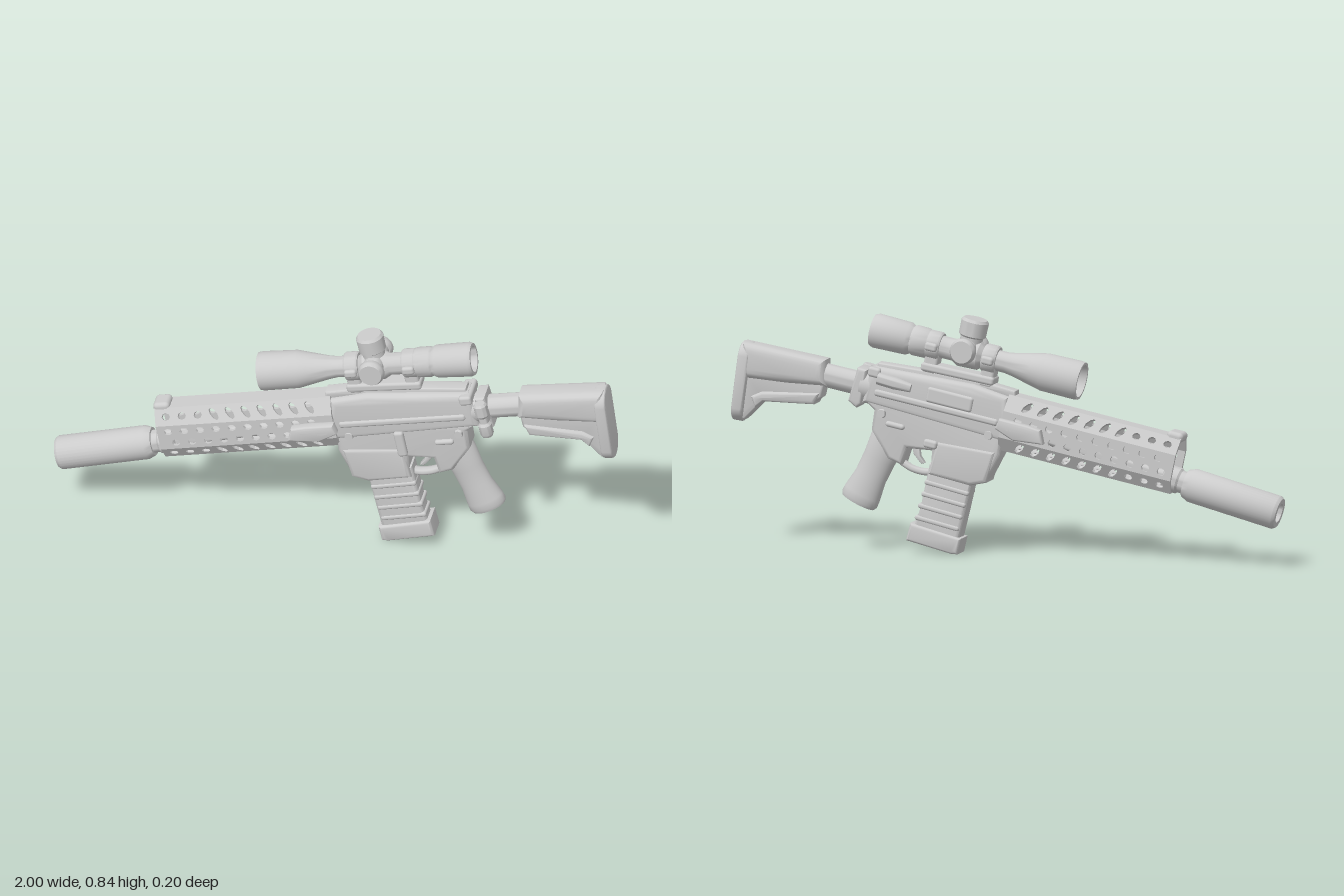
import * as THREE from 'three';
import { toCreasedNormals } from 'three/addons/utils/BufferGeometryUtils.js';
import { RoundedBoxGeometry } from 'three/addons/geometries/RoundedBoxGeometry.js';

const mat = new THREE.MeshStandardMaterial({ color: 0xcccccc });
const TILT = 0.2;

export function createModel() {
  const model = new THREE.Group();
  model.name = 'rifle';

  const add = (name, geo, parent = model) => {
    const mesh = new THREE.Mesh(geo, mat);
    mesh.name = name;
    parent.add(mesh);
    return mesh;
  };

  // Turned part running from a to b; profile is [radius, fraction], zScale flattens it sideways
  const turned = (name, a, b, profile, zScale = 1, seg = 32) => {
    const dx = b[0] - a[0], dy = b[1] - a[1], len = Math.hypot(dx, dy);
    const pts = profile.map(([r, t]) => new THREE.Vector2(r, t * len));
    const mesh = add(name, toCreasedNormals(new THREE.LatheGeometry(pts, seg), 0.6));
    mesh.position.set(a[0], a[1], a[2] || 0);
    mesh.rotation.z = Math.atan2(-dx, dy);
    mesh.scale.z = zScale;
    return mesh;
  };

  // Side outline extruded to +-half with rounded edges
  const plate = (name, pts, half, bevel = 0.015, z = 0) => {
    const geo = new THREE.ExtrudeGeometry(new THREE.Shape(pts.map(p => new THREE.Vector2(...p))), {
      depth: 2 * (half - bevel), bevelThickness: bevel, bevelSize: bevel, bevelOffset: -bevel, bevelSegments: 4 });
    geo.translate(0, 0, z - half + bevel);
    return add(name, toCreasedNormals(geo, 0.7));
  };

  const block = (name, x, y, z, w, h, d, rot = TILT, r = 0.01) => {
    const mesh = add(name, new RoundedBoxGeometry(w, h, d, 3, r));
    mesh.position.set(x, y, z);
    mesh.rotation.z = rot;
    return mesh;
  };

  const knob = (name, x, y, z0, z1, r) => {
    const h = Math.abs(z1 - z0);
    const pts = [[0, 0], [r * 0.85, 0], [r, 0.012], [r, h - 0.012], [r * 0.85, h], [0, h]];
    const geo = new THREE.LatheGeometry(pts.map(p => new THREE.Vector2(...p)), 24);
    const mesh = add(name, toCreasedNormals(geo, 0.9));
    mesh.position.set(x, y, z0);
    mesh.rotation.x = Math.sign(z1 - z0) * Math.PI / 2;
  };

  // Muzzle tube and barrel
  turned('muzzleTube', [-0.985, 0.19], [-0.645, 0.282],
    [[0, 0.12], [0.03, 0.12], [0.034, 0], [0.053, 0], [0.06, 0.03], [0.06, 0.93], [0.05, 1], [0, 1]]);
  turned('barrel', [-0.66, 0.278], [0.03, 0.47],
    [[0, 0], [0.04, 0], [0.04, 0.05], [0.046, 0.06], [0.046, 0.13], [0.026, 0.14], [0.026, 1], [0, 1]]);

  // Handguard: eight pierced panels around a hollow core
  const guard = new THREE.Group();
  guard.name = 'handguard';
  guard.position.set(-0.617, 0.345, 0);
  guard.rotation.z = 0.206;
  model.add(guard);
  const L = 0.64, T = 0.012;
  const ring = [[0.035, -0.1], [0.068, -0.05], [0.068, 0.045], [0.035, 0.1],
    [-0.035, 0.1], [-0.068, 0.045], [-0.068, -0.05], [-0.035, -0.1]];
  ring.forEach((p, i) => {
    const q = ring[(i + 1) % 8];
    const V = new THREE.Vector3(0, q[1] - p[1], q[0] - p[0]), w = V.length();
    V.normalize();
    const X = new THREE.Vector3(1, 0, 0), N = X.clone().cross(V);
    const s = new THREE.Shape([[0, 0], [L, 0], [L, w], [0, w]].map(c => new THREE.Vector2(...c)));
    const rows = w > 0.09 ? [0.26, 0.74] : i === 3 ? [] : [0.5];
    for (const row of rows) for (let k = 0; k < 10; k++) {
      const slot = (rows.length === 1 && k > 2 && i !== 7), cx = 0.04 + k * 0.058 + (row === 0.26 ? 0.02 : 0);
      const rx = slot ? 0.021 : 0.015, ry = slot ? 0.022 : 0.013;
      const lean = slot ? (i < 4 ? -0.5 : 0.5) : 0;
      const hole = new THREE.Path();
      for (let n = 0; n < 8; n++) {
        const a = -n * Math.PI / 4, y = Math.sin(a) * ry;
        const x = cx + Math.cos(a) * rx * (slot ? 0.65 : 1) + y * lean;
        n ? hole.lineTo(x, w * row + y) : hole.moveTo(x, w * row + y);
      }
      hole.closePath();
      s.holes.push(hole);
    }
    const geo = new THREE.ExtrudeGeometry(s, { depth: T, bevelEnabled: false });
    geo.translate(0, 0, -T);
    geo.applyMatrix4(new THREE.Matrix4().makeBasis(X, V, N).setPosition(0, p[1], p[0]));
    add('handguardPanel', geo, guard);
  });
  const lip = add('frontSightBump', new RoundedBoxGeometry(0.06, 0.035, 0.075, 3, 0.015), guard);
  lip.position.set(0.025, 0.1, 0);
  for (const s of [-1, 1]) {
    plate('sideRailCover', [[-0.15, 0.41], [-0.14, 0.46], [-0.09, 0.475], [0.01, 0.495], [0.025, 0.46], [-0.04, 0.42]], 0.02, 0.01, s * 0.081);
    block('sideRailPad', -0.06, 0.452, s * 0.09, 0.12, 0.03, 0.022);
  }

  // Upper and lower receiver
  plate('upperReceiver', [[-0.01, 0.4], [-0.01, 0.565], [0.12, 0.605], [0.3, 0.63], [0.48, 0.655], [0.5, 0.62], [0.525, 0.525]], 0.056, 0.025);
  plate('lowerReceiver', [[0.01, 0.45], [0.02, 0.36], [0.07, 0.265], [0.13, 0.25], [0.275, 0.285], [0.27, 0.365],
    [0.36, 0.37], [0.38, 0.31], [0.43, 0.33], [0.49, 0.43], [0.48, 0.5], [0.52, 0.54]], 0.05, 0.015);
  plate('magazineWell', [[0.035, 0.37], [0.07, 0.26], [0.13, 0.248], [0.282, 0.283], [0.25, 0.4]], 0.057, 0.015);
  plate('topRail', [[-0.03, 0.555], [-0.03, 0.585], [0.13, 0.625], [0.47, 0.665], [0.48, 0.635], [0.13, 0.59]], 0.028, 0.008);
  for (const s of [-1, 1]) {
    block('receiverRidge', 0.25, 0.52, s * 0.052, 0.46, 0.025, 0.022);
    block('selectorLever', 0.4, 0.45, s * 0.05, 0.07, 0.02, 0.025);
    knob('receiverPin', 0.06, 0.43, 0, s * 0.06, 0.017);
    knob('receiverPin', 0.45, 0.49, 0, s * 0.06, 0.017);
  }
  block('boltCatch', 0.245, 0.425, 0.055, 0.035, 0.1, 0.025);
  block('magazineRelease', 0.27, 0.39, -0.055, 0.05, 0.03, 0.025);
  block('ejectionCover', 0.2, 0.55, -0.054, 0.17, 0.055, 0.02);
  turned('forwardAssist', [0.34, 0.585, -0.058], [0.46, 0.615, -0.062],
    [[0, 0], [0.015, 0], [0.022, 0.5], [0.022, 1], [0, 1]]);
  block('chargingHandle', 0.475, 0.635, 0, 0.045, 0.035, 0.13);

  // Trigger and guard
  const guardCurve = new THREE.CatmullRomCurve3([[0.26, 0.29], [0.3, 0.283], [0.35, 0.293], [0.39, 0.315]]
    .map(p => new THREE.Vector3(...p, 0)));
  add('triggerGuard', new THREE.TubeGeometry(guardCurve, 16, 0.013, 8)).scale.z = 1.6;
  plate('trigger', [[0.325, 0.38], [0.322, 0.34], [0.305, 0.315], [0.318, 0.312], [0.345, 0.345], [0.352, 0.38]], 0.012, 0.004);

  // Pistol grip
  turned('grip', [0.55, 0.168], [0.42, 0.43],
    [[0, 0], [0.063, 0], [0.069, 0.04], [0.068, 0.12], [0.058, 0.35], [0.059, 0.6], [0.066, 0.85], [0.06, 1], [0, 1]], 0.68);

  // Magazine with ribs and flared foot
  plate('magazine', [[0.115, 0.3], [0.15, 0.15], [0.182, 0.02], [0.35, 0.06], [0.315, 0.16], [0.28, 0.32]], 0.04, 0.014);
  for (let k = 0; k < 4; k++)
    block('magazineRib', 0.216 + k * 0.012, 0.235 - k * 0.042, 0, 0.166, 0.018, 0.088, 0.23, 0.008);
  plate('magazineFoot', [[0.163, 0.058], [0.176, 0.002], [0.2, 0.003], [0.364, 0.045], [0.348, 0.107]], 0.051, 0.012);

  // Buffer tube, end plate and sling mount
  turned('bufferTube', [0.49, 0.575], [0.7, 0.617],
    [[0, 0], [0.054, 0], [0.054, 0.2], [0.042, 0.24], [0.042, 1], [0, 1]]);
  plate('endPlate', [[0.505, 0.64], [0.54, 0.648], [0.575, 0.53], [0.545, 0.505], [0.525, 0.52]], 0.05, 0.012);
  turned('slingMount', [0.56, 0.515, 0.078], [0.53, 0.645, 0.078],
    [[0, 0], [0.018, 0], [0.024, 0.08], [0.024, 0.35], [0.017, 0.42], [0.017, 0.58], [0.024, 0.65], [0.024, 0.94], [0.018, 1], [0, 1]]);
  block('slingMountArm', 0.545, 0.58, 0.055, 0.03, 0.05, 0.06);

  // Shoulder stock
  plate('stockBody', [[0.655, 0.575], [0.66, 0.668], [0.96, 0.72], [0.978, 0.595], [0.8, 0.58]], 0.058, 0.035);
  plate('stockWeb', [[0.66, 0.6], [0.675, 0.535], [0.71, 0.51], [0.885, 0.515], [0.955, 0.445], [0.99, 0.45], [0.975, 0.64]], 0.036, 0.012);
  plate('stockLowerRail', [[0.68, 0.55], [0.7, 0.51], [0.885, 0.513], [0.915, 0.49], [0.93, 0.53], [0.89, 0.548]], 0.047, 0.012);
  const pad = add('buttPad', new THREE.ExtrudeGeometry(
    new THREE.Shape([...Array(40)].map((_, n) => {
      const a = n / 20 * Math.PI, c = Math.cos(a), s = Math.sin(a);
      return new THREE.Vector2(c * 0.054, Math.sign(s) * 0.085 + s * 0.05);
    })), { depth: 0.025, bevelThickness: 0.008, bevelSize: 0.007, bevelSegments: 3 }));
  pad.geometry = toCreasedNormals(pad.geometry, 0.7);
  pad.rotation.set(0, Math.PI / 2, 0.13, 'ZYX');
  pad.position.set(0.953, 0.577, 0);

  // Telescopic sight
  turned('scopeTube', [-0.265, 0.627], [0.495, 0.777], [[0, 0.05], [0.054, 0.05], [0.058, 0], [0.067, 0], [0.069, 0.02],
    [0.067, 0.18], [0.058, 0.23], [0.042, 0.32], [0.037, 0.36], [0.037, 0.47], [0.05, 0.49], [0.052, 0.58], [0.039, 0.61],
    [0.039, 0.71], [0.053, 0.74], [0.054, 0.8], [0.05, 0.81], [0.058, 0.83], [0.061, 0.985], [0.056, 1], [0.046, 1], [0.043, 0.95], [0, 0.95]]);
  turned('elevationTurret', [0.147, 0.715], [0.121, 0.832],
    [[0, 0], [0.04, 0], [0.04, 0.45], [0.048, 0.5], [0.049, 0.92], [0.042, 1], [0, 1]]);
  for (const s of [-1, 1]) {
    knob('sideTurretNeck', 0.145, 0.725, 0, s * 0.07, 0.037);
    knob('sideTurret', 0.145, 0.725, s * 0.06, s * 0.1, 0.046);
  }
  // Scope mount: base, posts and clamping rings
  block('mountBase', 0.18, 0.638, 0, 0.27, 0.03, 0.075, 0.17);
  for (const [x, y] of [[0.065, 0.692], [0.27, 0.732]]) {
    turned('mountRing', [x - 0.025, y - 0.005], [x + 0.025, y + 0.005],
      [[0, 0], [0.047, 0], [0.051, 0.12], [0.051, 0.88], [0.047, 1], [0, 1]]);
    block('mountPost', x + 0.008, y - 0.055, 0, 0.05, 0.085, 0.06);
    for (const s of [-1, 1]) block('ringClamp', x, y, s * 0.05, 0.045, 0.03, 0.022);
  }
  return model;
}
